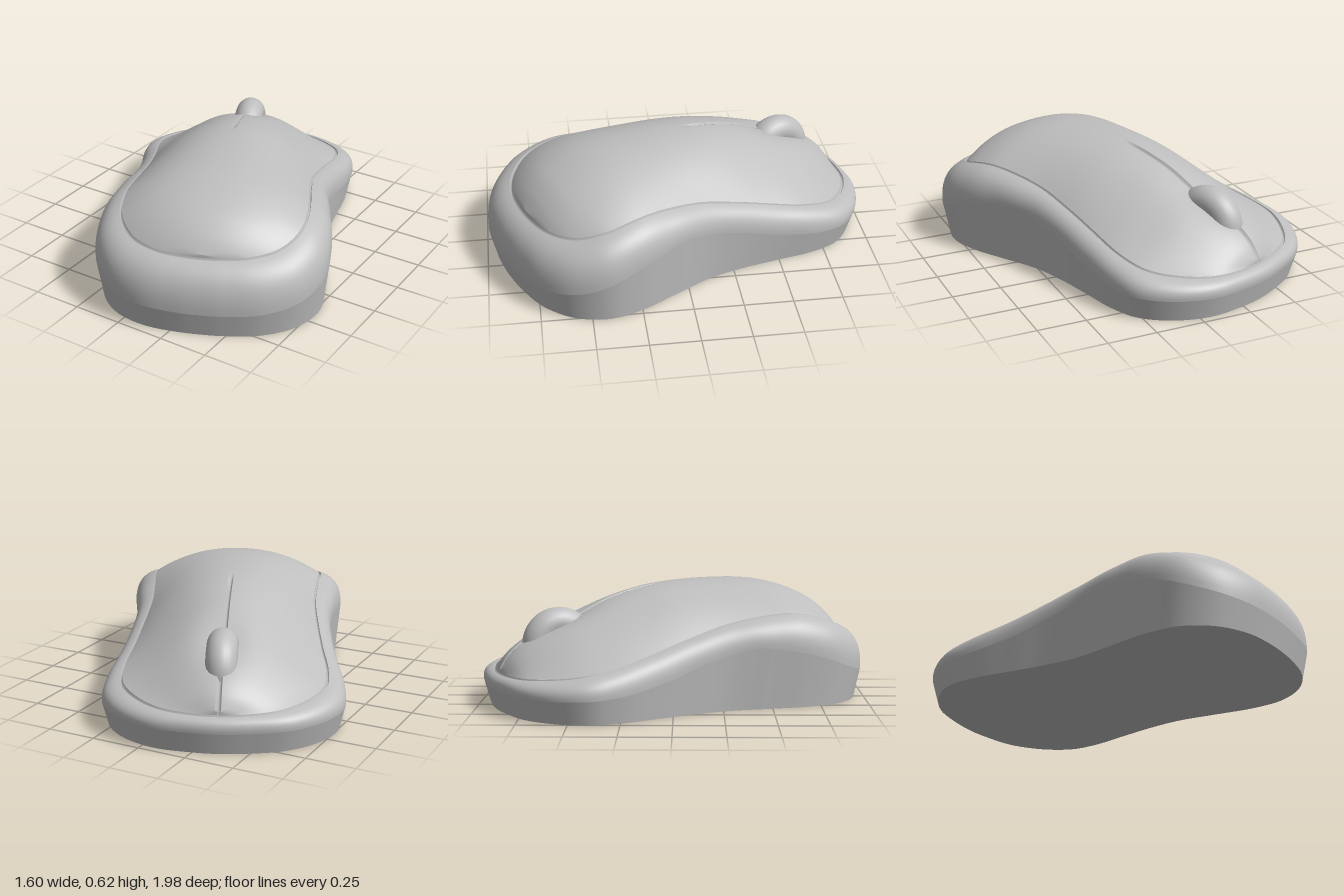
import * as THREE from 'three';

const N = 180; // samples around the closed outlines

// Half outlines (x, z) from nose to tail, mirrored across x = 0
const OUTER = [[0, -1], [.14, -.988], [.33, -.943], [.49, -.83], [.585, -.68], [.595, -.52], [.56, -.3], [.53, -.1],
  [.52, .09], [.55, .31], [.578, .52], [.56, .7], [.46, .85], [.3, .942], [.12, .975], [0, .98]];
const INNER = [[0, -.962], [.13, -.95], [.29, -.9], [.42, -.79], [.5, -.66], [.51, -.5], [.48, -.3], [.455, -.1],
  [.44, .09], [.45, .3], [.465, .5], [.445, .65], [.36, .77], [.23, .84], [.1, .865], [0, .87]];

// Heights (z, y) of the lower seam, the upper groove and the crest
const SEAM = [[-1, .11], [-.55, .128], [-.27, .18], [-.06, .246], [.2, .31], [.3, .31], [.53, .267], [.785, .18], [.93, .14], [1, .125]];
const EDGE = [[-.97, .18], [-.7, .215], [-.42, .275], [-.11, .365], [.11, .425], [.33, .46], [.48, .465], [.65, .43], [.77, .39], [.87, .365]];
const CREST = [[-.962, .18], [-.9, .275], [-.8, .355], [-.65, .435], [-.5, .495], [-.3, .56], [-.08, .605], [.25, .62], [.5, .6], [.7, .53], [.8, .455], [.87, .365]];

// Smooth interpolation through a height profile
function height(p, z) {
  const n = p.length - 1;
  z = THREE.MathUtils.clamp(z, p[0][0], p[n][0]);
  let i = 0;
  while (i < n - 1 && z > p[i + 1][0]) i++;
  const slope = k => {
    const a = p[Math.max(k - 1, 0)], b = p[Math.min(k + 1, n)];
    return (b[1] - a[1]) / (b[0] - a[0]);
  };
  const d = p[i + 1][0] - p[i][0], t = (z - p[i][0]) / d, t2 = t * t, t3 = t2 * t;
  return (2 * t3 - 3 * t2 + 1) * p[i][1] + (t3 - 2 * t2 + t) * d * slope(i)
    + (3 * t2 - 2 * t3) * p[i + 1][1] + (t3 - t2) * d * slope(i + 1);
}

function outline(half) {
  const right = half.map(([x, z]) => new THREE.Vector3(x, 0, z));
  const left = half.slice(1, -1).reverse().map(([x, z]) => new THREE.Vector3(-x, 0, z));
  const curve = new THREE.CatmullRomCurve3([...right, ...left], true);
  return Array.from({ length: N }, (_, i) => curve.getPoint(i / N));
}

function surface(rows, closed, flip) {
  const pos = [], idx = [], w = rows[0].length;
  rows.forEach(r => r.forEach(v => pos.push(v.x, v.y, v.z)));
  for (let k = 0; k < rows.length - 1; k++) {
    for (let i = 0; i < (closed ? w : w - 1); i++) {
      const j = (i + 1) % w;
      const a = k * w + i, b = k * w + j, c = a + w, d = b + w;
      idx.push(a, c, b, b, c, d);
    }
  }
  const g = new THREE.BufferGeometry();
  g.setAttribute('position', new THREE.Float32BufferAttribute(pos, 3));
  g.setIndex(idx);
  g.computeVertexNormals();
  return g;
}

export function createModel() {
  const grey = new THREE.MeshStandardMaterial({ color: 0xbebebe });
  grey.name = 'grey';
  const body = new THREE.Group();
  body.name = 'computerMouse';
  const add = (name, geometry) => {
    const m = new THREE.Mesh(geometry, grey);
    m.name = name;
    body.add(m);
    return m;
  };

  const outer = outline(OUTER), inner = outline(INNER);
  const seam = outer.map(p => new THREE.Vector3(p.x, height(SEAM, p.z), p.z));
  const edge = inner.map(p => new THREE.Vector3(p.x, height(EDGE, p.z), p.z));
  const foot = outer.map(p => new THREE.Vector3(p.x * .955, 0, p.z * .97));
  const lid = edge.map(p => new THREE.Vector3(p.x * .973, p.y + .004, p.z * .984));

  // Flat underside and lower wall
  add('underside', surface([foot.map(() => new THREE.Vector3()), foot], true));
  add('baseWall', surface([foot, seam], true));

  // Rounded side band, bulging from the seam to the groove
  const band = [];
  for (let k = 0; k <= 12; k++) {
    band.push(seam.map((s, i) => {
      const e = edge[i];
      const ctrl = new THREE.Vector3(s.x * 1.012, s.y + (e.y - s.y) * .8, s.z * 1.012);
      return new THREE.QuadraticBezierCurve3(s, ctrl, e).getPoint(k / 12);
    }));
  }
  add('sideBand', surface(band, true));

  // Narrow groove between the side band and the top shell
  const trough = edge.map((e, i) => e.clone().lerp(lid[i], .5).setY(e.y - .022));
  add('topGroove', surface([edge, trough, lid], true));

  // Top shell: arched cross-sections with a tapering split between the buttons
  const rows = [];
  for (let i = 0; i <= N / 2; i++) {
    const { x: w, y: y0, z } = lid[i];
    const rise = Math.max(height(CREST, z) - y0, 0);
    const slit = Math.min(.013, Math.abs(w) * .2);
    const half = [0, slit, slit * 1.15];
    for (let j = 1; j <= 24; j++) half.push(slit * 1.15 + (Math.abs(w) - slit * 1.15) * j / 24);
    const xs = [...half.slice(1).reverse().map(x => -x), ...half];
    const front = THREE.MathUtils.smoothstep(-z, -.1, .75);
    rows.push(xs.map(x => {
      const s = w > 1e-5 ? Math.min(Math.abs(x) / w, 1) : 1;
      const dome = 1 - Math.pow(s, 2.2);
      const tent = .5 + .5 * Math.cos(Math.PI * s);
      let y = y0 + rise * THREE.MathUtils.lerp(dome, tent, front * .6);
      // shallow hollow around the wheel
      y -= .03 * Math.exp(-((x / .11) ** 2) - ((z + .6) / .16) ** 2);
      // split line
      if (x === 0) y -= .03 * THREE.MathUtils.smoothstep(-z, .03, .2);
      return new THREE.Vector3(x, y, z);
    }));
  }
  add('topShell', surface(rows, false));

  // Scroll wheel with a rounded rim
  const wheel = add('scrollWheel', new THREE.TorusGeometry(.113, .077, 24, 48));
  wheel.rotation.y = Math.PI / 2;
  wheel.position.set(0, .312, -.64);

  // The body sits turned on the ground
  body.rotation.y = .404;
  body.position.set(.015, 0, 0);
  const model = new THREE.Group();
  model.name = 'model';
  model.add(body);
  return model;
}
